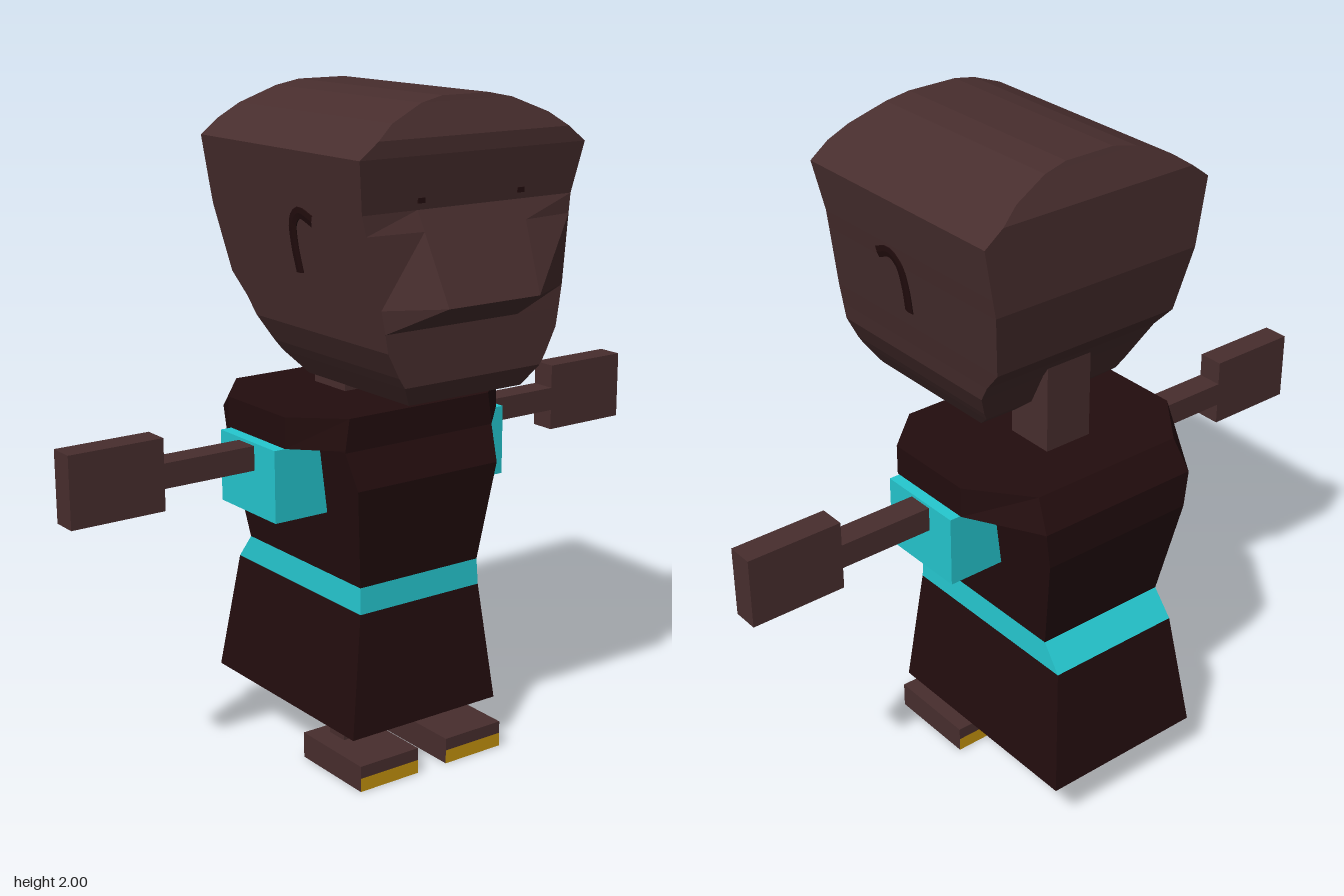
import * as THREE from 'three';

const mat = (name, color) => {
  const m = new THREE.MeshStandardMaterial({ color, flatShading: true });
  m.name = name;
  return m;
};

// Joins rings of [x, y, z] points (counter-clockwise from above), lowest first.
function loft(rings) {
  const pos = [];
  const tri = (...pts) => pts.forEach((p) => pos.push(...p));
  const n = rings[0].length;
  for (let r = 0; r < rings.length - 1; r++) {
    const lo = rings[r], up = rings[r + 1];
    for (let i = 0; i < n; i++) {
      const j = (i + 1) % n;
      tri(lo[i], lo[j], up[j]);
      tri(lo[i], up[j], up[i]);
    }
  }
  const bottom = rings[0], top = rings[rings.length - 1];
  for (let i = 1; i < n - 1; i++) {
    tri(bottom[0], bottom[i + 1], bottom[i]);
    tri(top[0], top[i], top[i + 1]);
  }
  const g = new THREE.BufferGeometry();
  g.setAttribute('position', new THREE.Float32BufferAttribute(pos, 3));
  g.computeVertexNormals();
  return g;
}

// Head section: back x, front corner x, nose x, half width
const headRing = ([y, xb, xf, xn, w]) => [
  [xn, y, w / 2], [xn, y, -w / 2], [xf, y, -w], [xb, y, -w], [xb, y, w], [xf, y, w],
];

// Robe section: back x, front x, half width at corners, half width at shoulders
const robeRing = ([y, xb, xf, c, s]) => [
  [xf, y, c], [xf, y, -c], [0.06, y, -s], [-0.235, y, -s],
  [xb, y, -c], [xb, y, c], [-0.235, y, s], [0.06, y, s],
];

export function createModel() {
  const model = new THREE.Group();
  model.name = 'figure';
  const skin = mat('brown skin', 0x482e2e);
  const robe = mat('dark robe', 0x230d0e);
  const teal = mat('teal trim', 0x25c8d0);
  const gold = mat('gold sole', 0xc8950f);

  const add = (name, geometry, material) => {
    const m = new THREE.Mesh(geometry, material);
    m.name = name;
    model.add(m);
    return m;
  };
  // Box given by its extents on each axis
  const box = (name, [x0, x1], [y0, y1], [z0, z1], material) => {
    const m = add(name, new THREE.BoxGeometry(x1 - x0, y1 - y0, Math.abs(z1 - z0)), material);
    m.position.set((x0 + x1) / 2, (y0 + y1) / 2, (z0 + z1) / 2);
  };

  // Head with wedge nose and arched crown
  add('head', loft([
    [1.18, -0.09, 0.385, 0.385, 0.198],
    [1.24, -0.165, 0.42, 0.42, 0.238],
    [1.27, -0.18, 0.42, 0.42, 0.257],
    [1.342, -0.215, 0.42, 0.42, 0.294],
    [1.395, -0.25, 0.42, 0.42, 0.303],
    [1.46, -0.31, 0.418, 0.505, 0.315],
    [1.655, -0.35, 0.4, 0.42, 0.35],
    [1.71, -0.35, 0.395, 0.395, 0.36],
    [1.855, -0.35, 0.42, 0.42, 0.385],
    [1.9, -0.35, 0.42, 0.42, 0.325],
    [1.94, -0.33, 0.4, 0.4, 0.267],
    [1.985, -0.307, 0.377, 0.377, 0.155],
    [2.0, -0.3, 0.37, 0.37, 0.08],
  ].map(headRing)), skin);
  box('neck', [-0.235, -0.08], [1.08, 1.42], [-0.078, 0.078], skin);

  // Robe: skirt, belt and bodice with overhanging shoulders
  const hem = [0.15, -0.51, 0.214, 0.265, 0.265];
  const beltLow = [0.52, -0.457, 0.187, 0.218, 0.218];
  const beltTop = [0.6, -0.395, 0.183, 0.215, 0.215];
  add('skirt', loft([hem, beltLow].map(robeRing)), robe);
  add('belt', loft([beltLow, beltTop].map(robeRing)), teal);
  add('bodice', loft([
    beltTop,
    [0.905, -0.457, 0.225, 0.252, 0.252],
    [1.01, -0.457, 0.183, 0.265, 0.265],
    [1.016, -0.457, 0.183, 0.265, 0.385],
    [1.108, -0.405, 0.183, 0.25, 0.385],
  ].map(robeRing)), robe);

  // Curved ear line, laid on the sloping cheek
  const earPath = new THREE.CatmullRomCurve3([
    [0.06, 1.51], [0.055, 1.59], [0.065, 1.655], [0.1, 1.683], [0.16, 1.665],
  ].map(([x, y]) => new THREE.Vector3(x, y, 0)));

  for (const s of [1, -1]) {
    const side = s > 0 ? 'Right' : 'Left';
    const z = (a, b) => [s * a, s * b];

    const ear = new THREE.TubeGeometry(earPath, 16, 0.019, 6).scale(1, 1, 0.2);
    const p = ear.attributes.position;
    for (let i = 0; i < p.count; i++) {
      p.setZ(i, p.getZ(i) + s * (0.361 + (p.getY(i) - 1.71) * 0.18));
    }
    ear.computeVertexNormals();
    add('ear' + side, ear, robe);
    box('eye' + side, [0.396, 0.403], [1.728, 1.742], z(0.16, 0.183), robe);

    // Arm
    box('sleeve' + side, [-0.228, 0.055], [0.8, 1.014], z(0.18, 0.417), teal);
    box('arm' + side, [-0.13, -0.05], [0.932, 1.005], z(0.4, 0.71), skin);
    box('hand' + side, [-0.13, -0.05], [0.868, 1.078], z(0.71, 1), skin);

    // Leg and foot; the sole is gold at toe, heel and underside
    box('leg' + side, [0, 0.072], [0.07, 0.16], z(0.12, 0.197), skin);
    box('foot' + side, [-0.045, 0.247], [0.042, 0.08], z(0.053, 0.262), skin);
    box('sole' + side, [-0.045, 0.247], [0, 0.042], z(0.053, 0.262),
      [gold, gold, skin, gold, skin, skin]);
  }
  return model;
}
